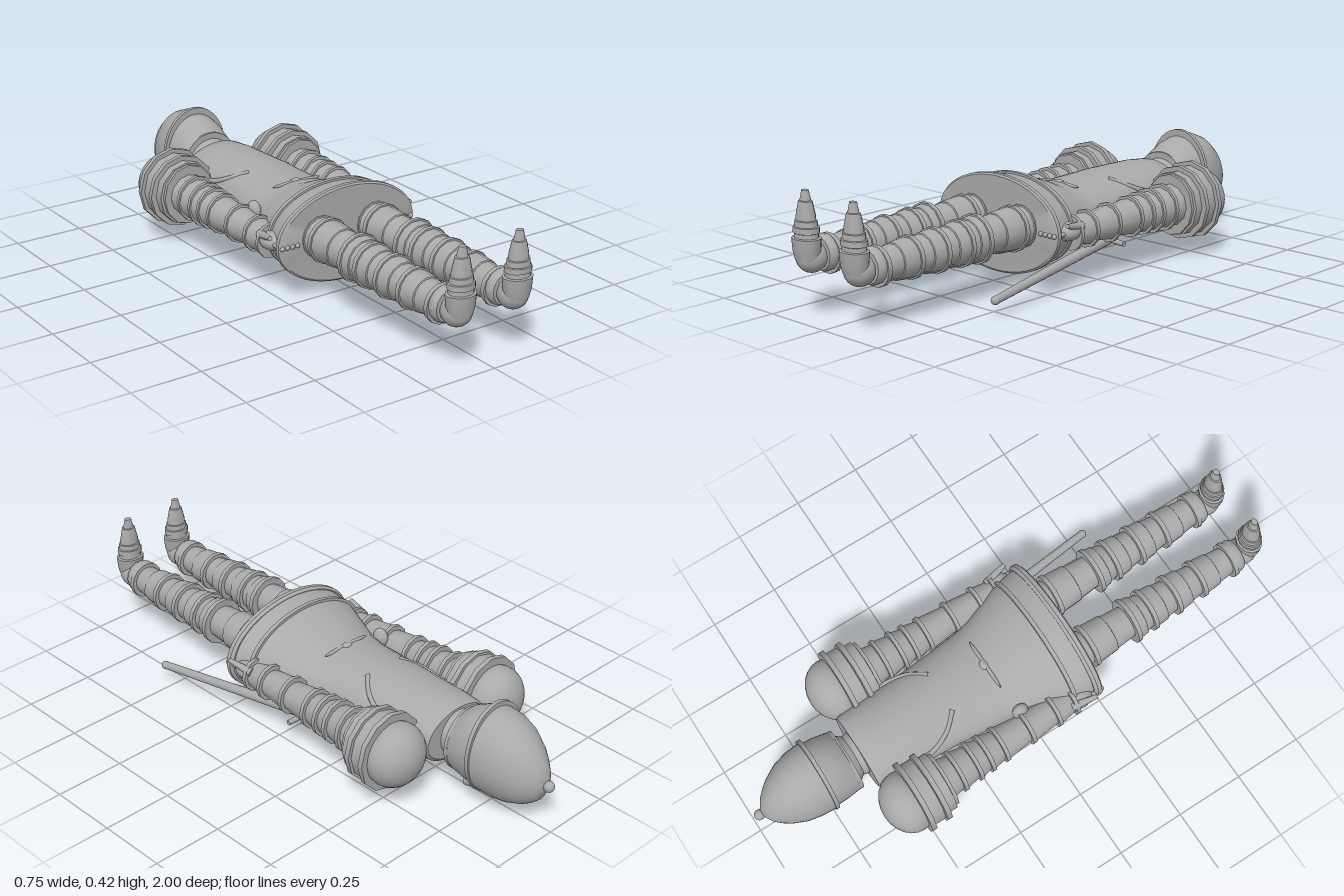
import * as THREE from 'three';
import { toCreasedNormals } from 'three/addons/utils/BufferGeometryUtils.js';

const steel = new THREE.MeshStandardMaterial({ color: 0xaaaaaa });
steel.name = 'steel';

// Closed skin through elliptical sections [z, rx, ry, cy], listed by rising z
function loft(sections, sides = 36, crease = 0.6) {
  const rows = [[sections[0][0], 0, 0, sections[0][3]], ...sections];
  const last = sections[sections.length - 1];
  rows.push([last[0], 0, 0, last[3]]);
  const pos = [], index = [];
  rows.forEach(([z, rx, ry = rx, cy = 0], i) => {
    for (let j = 0; j < sides; j++) {
      const a = (j / sides) * Math.PI * 2;
      pos.push(rx * Math.cos(a), cy + ry * Math.sin(a), z);
      if (i === rows.length - 1) continue;
      const p = i * sides + j, q = i * sides + ((j + 1) % sides);
      index.push(p, q, p + sides, q, q + sides, p + sides);
    }
  });
  const g = new THREE.BufferGeometry();
  g.setAttribute('position', new THREE.Float32BufferAttribute(pos, 3));
  g.setIndex(index);
  return toCreasedNormals(g, crease);
}

// Round section row with a fixed centre
const round = (cy) => ([z, r, k = 1]) => [z, r, r * k, cy];

function add(parent, name, geometry, x = 0, y = 0, z = 0) {
  const mesh = new THREE.Mesh(geometry, steel);
  mesh.name = name;
  mesh.position.set(x, y, z);
  parent.add(mesh);
  return mesh;
}

function ball(parent, name, x, y, z, rx, ry = rx, rz = rx) {
  const mesh = add(parent, name, new THREE.SphereGeometry(1, 24, 16), x, y, z);
  mesh.scale.set(rx, ry, rz);
  return mesh;
}

// Tapered rod between two points
function rod(parent, name, from, to, r0, r1, sides = 12) {
  const a = new THREE.Vector3(...from), b = new THREE.Vector3(...to);
  const dir = b.clone().sub(a);
  const mesh = add(parent, name, new THREE.CylinderGeometry(r1, r0, dir.length(), sides));
  mesh.position.copy(a).add(b).multiplyScalar(0.5);
  mesh.quaternion.setFromUnitVectors(new THREE.Vector3(0, 1, 0), dir.normalize());
  return mesh;
}

// Thin raised hoop with flat edges
function hoop(parent, name, z, rx, ry, cy, depth, x = 0, sides = 36) {
  const h = depth / 2;
  return add(parent, name, loft([[z - h, rx, ry, cy], [z + h, rx, ry, cy]], sides), x);
}

function head(root) {
  const g = new THREE.Group();
  g.name = 'head';
  root.add(g);
  add(g, 'helmetDome', loft([
    [-0.972, 0.012, 0.012, 0.17], [-0.95, 0.045, 0.065, 0.17], [-0.925, 0.068, 0.093, 0.176],
    [-0.9, 0.086, 0.115, 0.182], [-0.85, 0.11, 0.143, 0.193], [-0.8, 0.121, 0.156, 0.2],
    [-0.75, 0.125, 0.156, 0.203]]));
  add(g, 'visor', loft([
    [-0.75, 0.12, 0.15, 0.203], [-0.7, 0.118, 0.142, 0.2], [-0.65, 0.112, 0.122, 0.193],
    [-0.635, 0.108, 0.112, 0.19]]));
  hoop(g, 'helmetBand', -0.745, 0.131, 0.165, 0.21, 0.014);
  hoop(g, 'collar', -0.638, 0.112, 0.116, 0.19, 0.012);
  add(g, 'neck', loft([
    [-0.635, 0.095, 0.095, 0.19], [-0.61, 0.075, 0.08, 0.19], [-0.57, 0.085, 0.085, 0.19]]));
  ball(g, 'helmetTip', 0, 0.17, -0.98, 0.019);
  rod(g, 'plumeSocket', [0, 0.05, -0.75], [0, 0.02, -0.64], 0.01, 0.019, 10);
}

function torso(root) {
  const g = new THREE.Group();
  g.name = 'torso';
  root.add(g);
  add(g, 'cuirass', loft([
    [-0.59, 0.14, 0.09, 0.19], [-0.575, 0.145, 0.103, 0.187], [-0.5, 0.15, 0.113, 0.185],
    [-0.3, 0.16, 0.115, 0.185], [-0.1, 0.18, 0.11, 0.18], [-0.03, 0.192, 0.114, 0.182],
    [0.03, 0.212, 0.13, 0.19], [0.13, 0.25, 0.153, 0.198], [0.22, 0.267, 0.162, 0.2]], 48));
  hoop(g, 'upperSkirtBand', 0.135, 0.259, 0.16, 0.2, 0.015, 0, 48);
  add(g, 'skirtRim', loft([
    [0.205, 0.27, 0.162, 0.2], [0.215, 0.28, 0.17, 0.2], [0.23, 0.28, 0.17, 0.2],
    [0.235, 0.272, 0.164, 0.2]], 48));
  // Breastplate edges and waist ridge
  for (const s of [1, -1]) {
    const path = new THREE.CatmullRomCurve3([
      [0.15, 0.225, -0.45], [0.148, 0.226, -0.38], [0.125, 0.253, -0.31], [0.075, 0.283, -0.25],
    ].map(([x, y, z]) => new THREE.Vector3(s * x, y, z)));
    add(g, 'breastplateEdge', new THREE.TubeGeometry(path, 20, 0.009, 8));
  }
  ball(g, 'waistRidge', 0, 0.286, -0.07, 0.1, 0.009, 0.008);
  ball(g, 'waistBuckle', 0, 0.29, -0.075, 0.02, 0.008, 0.014);
  ball(g, 'hipPouch', -0.19, 0.23, -0.05, 0.022, 0.035, 0.03);
}

function arm(root, s) {
  const g = new THREE.Group();
  g.name = s > 0 ? 'leftArm' : 'rightArm';
  root.add(g);
  const x = 0.24 * s;
  ball(g, 'pauldron', x, 0.19, -0.54, 0.112, 0.112, 0.092);
  // Shoulder plates [z, rx, ry, depth]
  for (const [z, rx, ry, d] of [[-0.512, 0.134, 0.14, 0.018], [-0.482, 0.12, 0.125, 0.045],
    [-0.448, 0.13, 0.132, 0.018], [-0.425, 0.11, 0.115, 0.035], [-0.4, 0.1, 0.11, 0.012]])
    hoop(g, 'shoulderPlate', z, rx, ry, 0.19, d, x, 12);
  // Flared sleeve segments, each with a raised ring
  const rings = [-0.41, -0.345, -0.28, -0.23, -0.17, -0.06, 0.05, 0.125];
  rings.forEach((z, i) => {
    const r = 0.082 - 0.0035 * i;
    if (i) hoop(g, 'armRing', z, r, r * 1.08, 0.19, 0.014, x, 12);
    if (i < rings.length - 1)
      add(g, 'armSegment', loft([[z, r - 0.004], [rings[i + 1], r - 0.017]].map(round(0.19)), 12), x);
  });
  ball(g, 'palm', 0.25 * s, 0.2, 0.15, 0.042, 0.032, 0.05);
  for (let i = 0; i < 4; i++) {
    const fx = s * (0.207 + 0.02 * i);
    rod(g, 'finger', [fx, 0.2, 0.13], [fx, 0.2, 0.236], 0.0085, 0.0085, 10);
    ball(g, 'fingertip', fx, 0.2, 0.236, 0.0085);
  }
  rod(g, 'thumb', [0.272 * s, 0.215, 0.11], [0.292 * s, 0.233, 0.2], 0.016, 0.008, 10);
}

function leg(root, s) {
  const g = new THREE.Group();
  g.name = s > 0 ? 'leftLeg' : 'rightLeg';
  root.add(g);
  const x = 0.113 * s;
  // Armour segments with rings between them
  const rings = [[0.2, 0.084], [0.278, 0.08], [0.45, 0.085], [0.525, 0.08], [0.63, 0.077], [0.74, 0.072], [0.875, 0.067]];
  const cy = (z) => 0.21 - (z - 0.2) * 0.008;
  rings.forEach(([z, r], i) => {
    hoop(g, 'legRing', z, r, r, cy(z), 0.016, x, 14);
    if (i === rings.length - 1) return;
    const z1 = rings[i + 1][0], zm = (z + z1) / 2;
    add(g, 'legSegment', loft([[z, r - 0.005], [zm, r - 0.01], [zm + 0.002, r - 0.014], [z1, r - 0.021]]
      .map(round(cy(z))), 14), x);
  });
  add(g, 'ankleCuff', loft([[0.875, 0.06], [0.9, 0.062], [0.915, 0.055]].map(round(0.21)), 14), x);
  ball(g, 'heel', x, 0.205, 0.943, 0.05, 0.05, 0.052);
  // Upright pointed shoe built of stacked plates
  const shoe = loft([[0.2, 0.042], [0.232, 0.05], [0.272, 0.053], [0.274, 0.044], [0.288, 0.043],
    [0.29, 0.048], [0.308, 0.047], [0.31, 0.042], [0.328, 0.04], [0.33, 0.036], [0.345, 0.035],
    [0.39, 0.025], [0.392, 0.02], [0.425, 0.013]].map(round(0)), 14);
  shoe.rotateX(-Math.PI / 2);
  add(g, 'shoe', shoe, x, 0, 0.962).scale.z = 0.82;
}

function sword(root) {
  const g = new THREE.Group();
  g.name = 'sword';
  root.add(g);
  rod(g, 'scabbard', [0.21, 0.118, -0.1], [0.3, 0.06, 0.545], 0.02, 0.014);
  ball(g, 'scabbardTip', 0.3, 0.06, 0.545, 0.015);
  rod(g, 'crossguard', [0.16, 0.12, -0.1], [0.29, 0.115, -0.09], 0.009, 0.009);
  rod(g, 'grip', [0.21, 0.118, -0.1], [0.198, 0.126, -0.17], 0.011, 0.011);
}

export function createModel() {
  const root = new THREE.Group();
  root.name = 'lyingKnight';
  head(root);
  torso(root);
  for (const s of [1, -1]) {
    arm(root, s);
    leg(root, s);
  }
  sword(root);
  return root;
}
